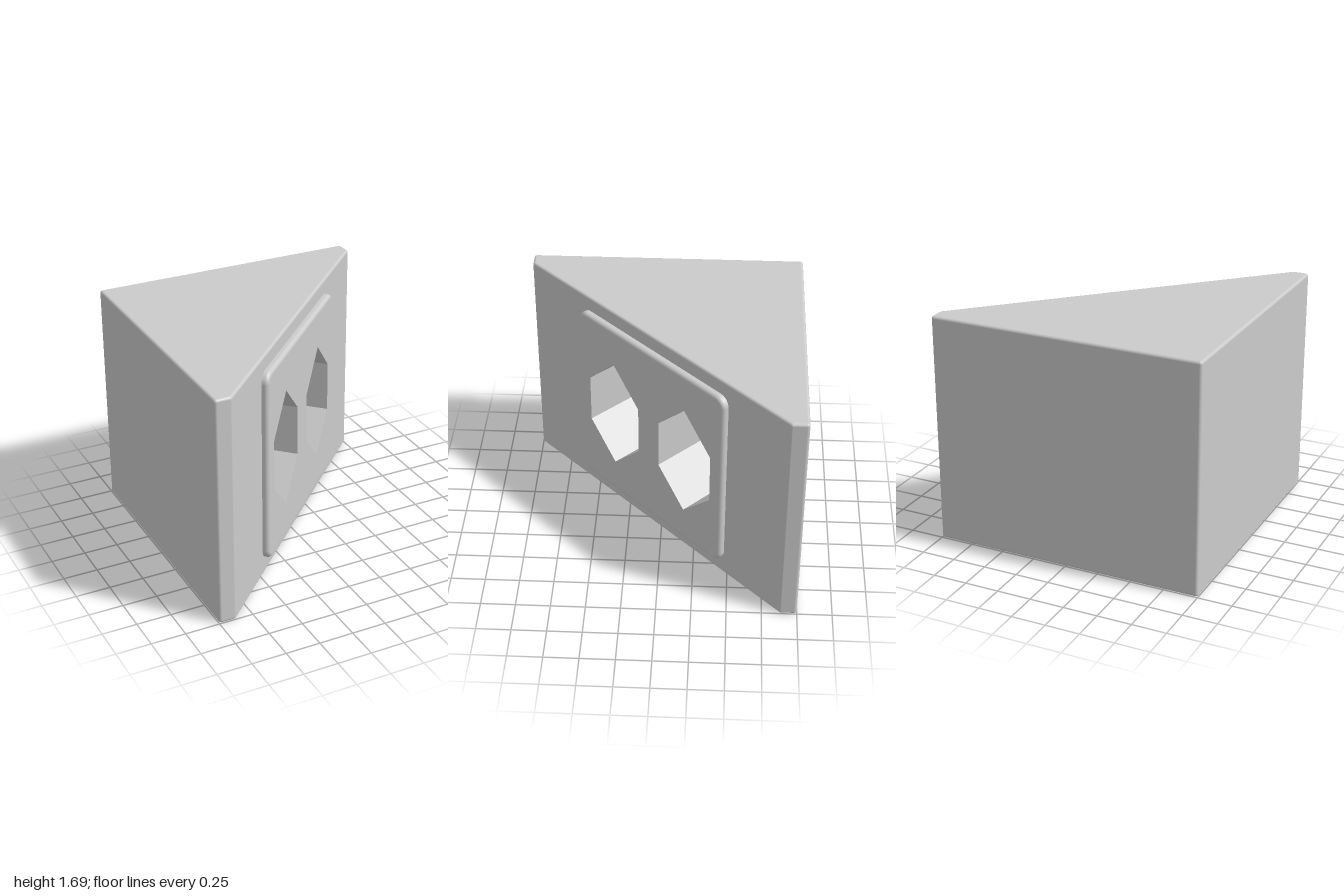
import * as THREE from 'three';

const H = 1.69, R = 0.02;              // body height, edge rounding
const PANEL = 0.12 / Math.SQRT2;       // distance of the diagonal face from the centre axis
const FACE = 0.192 / Math.SQRT2;       // distance of the cover plate's face
const DEPTH = 0.46, MID = 0.84;        // socket depth and centre height
const mat = new THREE.MeshStandardMaterial({ color: 0xcccccc });

function add(parent, name, geometry) {
  const mesh = new THREE.Mesh(geometry, mat);
  mesh.name = name;
  parent.add(mesh);
  return mesh;
}

function buffer(pos, nor, index) {
  const g = new THREE.BufferGeometry();
  g.setAttribute('position', new THREE.Float32BufferAttribute(pos, 3));
  if (nor) g.setAttribute('normal', new THREE.Float32BufferAttribute(nor, 3));
  if (index) g.setIndex(index);
  if (!nor) g.computeVertexNormals();
  return g;
}

// Rounded walls along y. corners: [x, z, startAngle, endAngle]; rings: [radius, y, tilt].
// skip(i, j) leaves out a strip.
function roundedWalls(corners, rings, skip = () => false) {
  const S = 6, n = corners.length * (S + 1), pos = [], nor = [], index = [];
  for (const [r, y, tilt] of rings)
    for (const [x, z, a0, a1] of corners)
      for (let k = 0; k <= S; k++) {
        const a = a0 + (a1 - a0) * k / S, c = Math.cos(a), s = Math.sin(a);
        pos.push(x + r * c, y, z + r * s);
        nor.push(c * Math.cos(tilt), Math.sin(tilt), s * Math.cos(tilt));
      }
  for (let j = 0; j < rings.length - 1; j++)
    for (let i = 0; i < n; i++) {
      if (skip(i, j, S)) continue;
      const i2 = (i + 1) % n, a = j * n + i, b = j * n + i2;
      index.push(a, a + n, b, b, a + n, b + n);
    }
  return buffer(pos, nor, index);
}

// Inward-facing walls of a well; outline is counter-clockwise
function wellWalls(points, front, back) {
  const pos = [];
  points.forEach((a, i) => {
    const b = points[(i + 1) % points.length];
    pos.push(a.x, a.y, back, a.x, a.y, front, b.x, b.y, back);
    pos.push(b.x, b.y, back, a.x, a.y, front, b.x, b.y, front);
  });
  return buffer(pos);
}

const hexagon = (cx) => [[0.267, -0.19], [0.267, 0.19], [0, 0.45], [-0.267, 0.19], [-0.267, -0.19], [0, -0.45]]
  .map(([x, y]) => new THREE.Vector2(cx + x, MID + y));

const circle = (cx, cy, r) => Array.from({ length: 24 }, (_, i) =>
  new THREE.Vector2(cx + r * Math.cos(i * Math.PI / 12), cy + r * Math.sin(i * Math.PI / 12)));

// Flat face at height z with openings
function flatFace(outline, holes, z) {
  const shape = new THREE.Shape(outline);
  shape.holes = holes.map((h) => new THREE.Path(h));
  return new THREE.ShapeGeometry(shape).translate(0, 0, z);
}

export function createModel() {
  const model = new THREE.Group();
  model.name = 'cornerSocketBlock';
  const q = Math.PI / 4;

  // Wedge body: rounded walls, with the diagonal strip left open for the panel
  const e = 1 - R, d = 0.12 - R * Math.SQRT2 - e;
  const corners = [[e, d, 0, q], [d, e, q, 2 * q], [-e, e, 2 * q, 4 * q], [-e, -e, 4 * q, 6 * q], [e, -e, 6 * q, 8 * q]];
  const rings = [];
  for (let k = 0; k <= 4; k++) {
    const t = -Math.PI / 2 + k * Math.PI / 8;
    rings.push([R * Math.cos(t), R + R * Math.sin(t), t]);
  }
  for (let k = 0; k <= 4; k++) {
    const t = k * Math.PI / 8;
    rings.push([R * Math.cos(t), H - R + R * Math.sin(t), t]);
  }
  add(model, 'bodyWalls', roundedWalls(corners, rings, (i, j, S) => i === S && j === 4));

  // Top and bottom of the body
  const cap = new THREE.Shape(corners.map(([x, z]) => new THREE.Vector2(x, -z)));
  add(model, 'bodyTop', new THREE.ShapeGeometry(cap).rotateX(-Math.PI / 2).translate(0, H, 0));
  const under = new THREE.Shape(corners.map(([x, z]) => new THREE.Vector2(x, z)));
  add(model, 'bodyBottom', new THREE.ShapeGeometry(under).rotateX(Math.PI / 2));

  // Everything on the diagonal face shares one turned frame
  const front = new THREE.Group();
  front.name = 'diagonalFront';
  front.rotation.y = q;
  model.add(front);
  const sockets = [-0.375, 0.375];
  const openings = sockets.map(hexagon);

  const w = (e - d) / Math.SQRT2;
  const rect = [[-w, R], [w, R], [w, H - R], [-w, H - R]].map((p) => new THREE.Vector2(...p));
  add(front, 'frontPanel', flatFace(rect, openings, PANEL));

  // Cover plate with rounded rim
  const px = 0.675, py = 0.65, core = 0.05, bevel = 0.03, cy = 0.85;
  const plateCorners = [[px, py], [-px, py], [-px, -py], [px, -py]]
    .map(([x, z], i) => [x, z, i * 2 * q, (i + 1) * 2 * q]);
  const rim = [[core + bevel, PANEL, 0]];
  for (let k = 0; k <= 5; k++) {
    const t = k * Math.PI / 10;
    rim.push([core + bevel * Math.cos(t), FACE - bevel + bevel * Math.sin(t), t]);
  }
  add(front, 'coverPlateRim', roundedWalls(plateCorners, rim).rotateX(Math.PI / 2).translate(0, cy, 0));
  const plate = plateCorners.flatMap(([x, y, a]) => Array.from({ length: 7 }, (_, k) =>
    new THREE.Vector2(x + core * Math.cos(a + k * Math.PI / 12), cy + y + core * Math.sin(a + k * Math.PI / 12))));
  add(front, 'coverPlateFace', flatFace(plate, openings, FACE));

  // Socket recesses, mirrored, each with three contact holes
  sockets.forEach((cx, i) => {
    const socket = new THREE.Group();
    socket.name = cx < 0 ? 'rightSocket' : 'leftSocket';
    front.add(socket);
    const floor = FACE - DEPTH, side = -Math.sign(cx);
    const pins = [[0, 0.23], [0, -0.23], [0.13 * side, 0]].map(([x, y]) => circle(cx + x, MID + y, 0.045));
    add(socket, 'recessWalls', wellWalls(openings[i], FACE, floor));
    add(socket, 'recessFloor', flatFace(openings[i], pins, floor));
    for (const pin of pins) {
      add(socket, 'contactHole', wellWalls(pin, floor, floor - 0.15));
      add(socket, 'contactHoleEnd', flatFace(pin, [], floor - 0.15));
    }
  });
  return model;
}
